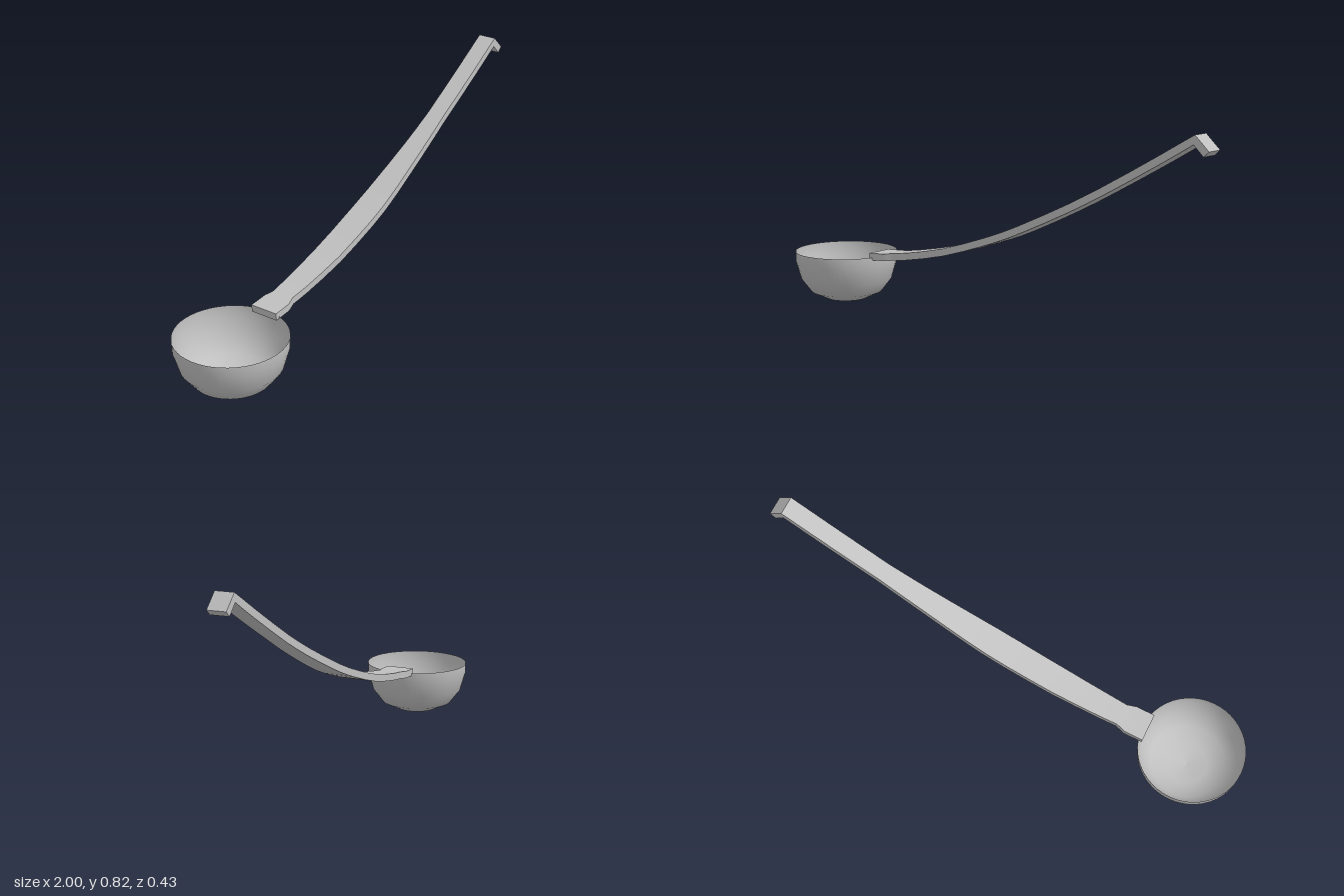
import * as THREE from 'three';
import { toCreasedNormals } from 'three/addons/utils/BufferGeometryUtils.js';

// Skin a strip through sections [xTop, yTop, xBottom, yBottom, halfWidth]
function sweepSections(sections) {
  const pos = [], index = [];
  for (const [xt, yt, xb, yb, w] of sections) {
    pos.push(xt, yt, w, xt, yt, -w, xb, yb, -w, xb, yb, w);
  }
  const quad = (a, b, c, d) => index.push(a, b, c, a, c, d);
  const last = (sections.length - 1) * 4;
  for (let i = 0; i < last; i += 4) {
    for (let j = 0; j < 4; j++) {
      const k = (j + 1) % 4;
      quad(i + j, i + 4 + j, i + 4 + k, i + k);
    }
  }
  quad(0, 1, 2, 3);
  quad(last + 3, last + 2, last + 1, last);
  const geo = new THREE.BufferGeometry();
  geo.setAttribute('position', new THREE.Float32BufferAttribute(pos, 3));
  geo.setIndex(index);
  return toCreasedNormals(geo, 0.5);
}

export function createModel() {
  const model = new THREE.Group();
  model.name = 'ladle';
  const metal = new THREE.MeshStandardMaterial({ color: 0xc0c0c0, side: THREE.DoubleSide });
  metal.name = 'grey metal';

  // Thin open bowl with a coarse profile
  const profile = [[0, 0], [0.085, 0.011], [0.149, 0.041], [0.191, 0.096], [0.212, 0.17], [0.213, 0.213]]
    .map(([r, y]) => new THREE.Vector2(r, y));
  const bowl = new THREE.Mesh(new THREE.LatheGeometry(profile, 48), metal);
  bowl.name = 'bowl';
  bowl.position.x = -0.787;
  model.add(bowl);

  // Curved handle: centreline x, y and half width
  const stations = [
    [-0.597, 0.216, 0.057], [-0.52, 0.221, 0.057], [-0.48, 0.226, 0.045],
    [-0.4, 0.238, 0.049], [-0.2, 0.280, 0.056], [0, 0.342, 0.058],
    [0.1, 0.378, 0.057], [0.2, 0.420, 0.053], [0.4, 0.513, 0.043],
    [0.55, 0.590, 0.037], [0.8, 0.728, 0.037], [0.938, 0.808, 0.037],
  ];
  const path = new THREE.CatmullRomCurve3(stations.map(([x, y]) => new THREE.Vector3(x, y, 0)));
  const half = 0.0145;
  const sections = [];
  const n = stations.length - 1;
  for (let i = 0; i < n; i++) {
    for (const f of [0, 0.5]) {
      const t = (i + f) / n;
      const p = path.getPoint(t), d = path.getTangent(t);
      const w = THREE.MathUtils.lerp(stations[i][2], stations[i + 1][2], f);
      sections.push([p.x - d.y * half, p.y + d.x * half, p.x + d.y * half, p.y - d.x * half, w]);
    }
  }
  // Mitred corner at the top
  const corner = [0.94, 0.825, 0.935, 0.79, 0.037];
  sections.push(corner);
  const handle = new THREE.Mesh(sweepSections(sections), metal);
  handle.name = 'handle';
  model.add(handle);

  // Short hook turned down at the end
  const hook = new THREE.Mesh(sweepSections([corner, [0.998, 0.77, 0.976, 0.75, 0.037]]), metal);
  hook.name = 'hangingHook';
  model.add(hook);

  return model;
}
